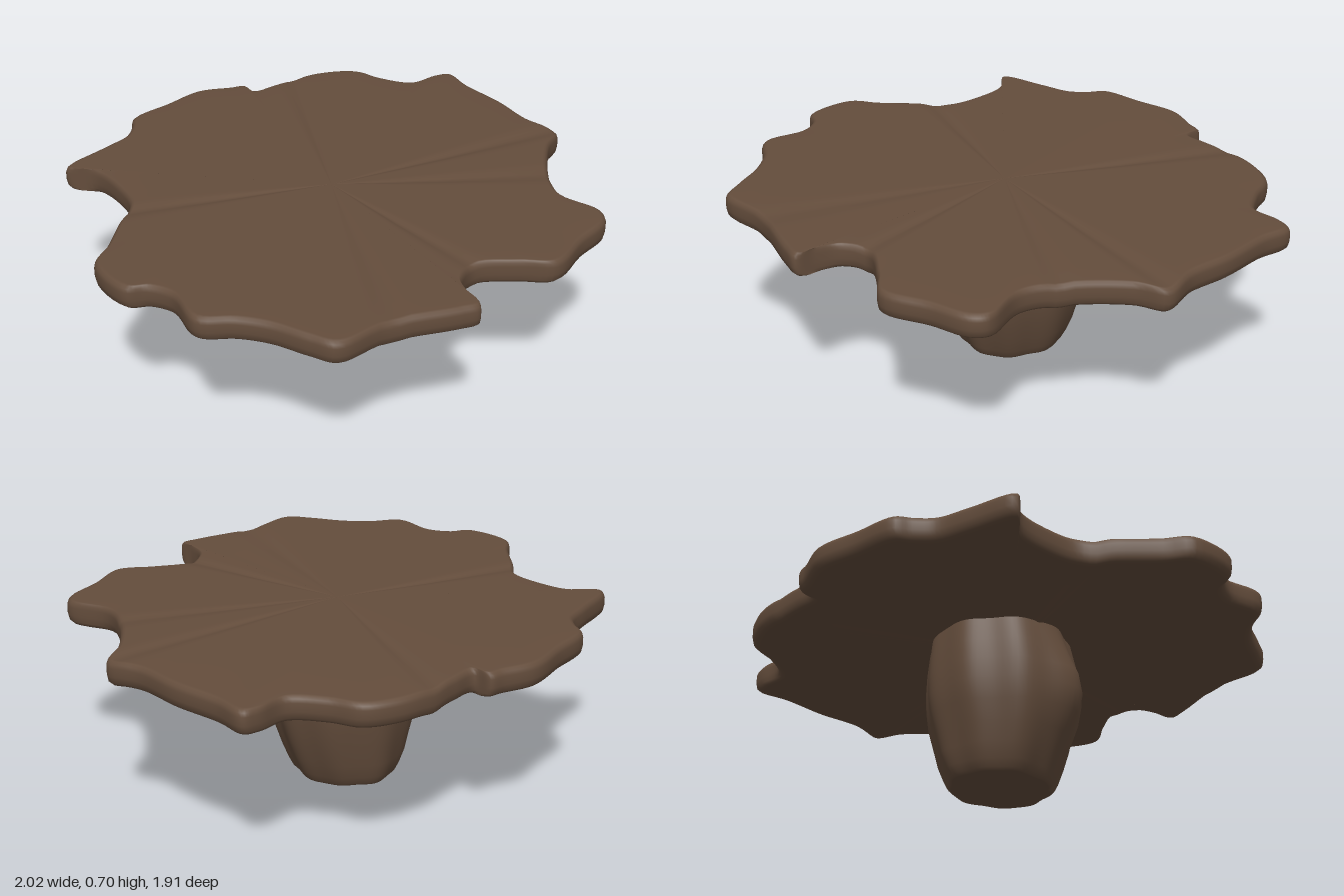
import * as THREE from 'three';

// Edge of the slab as (x, z) pairs, running from the back over +x to the front
const OUTLINE = [
  -0.03, -0.96, 0.10, -0.92, 0.155, -0.905, 0.165, -0.84, 0.26, -0.84, 0.40, -0.85, 0.53, -0.83,
  0.64, -0.77, 0.69, -0.66, 0.78, -0.55, 0.90, -0.55, 0.96, -0.53, 0.955, -0.40, 0.975, -0.20,
  0.97, -0.02, 1.0, 0.13, 0.90, 0.20, 0.75, 0.38, 0.69, 0.53, 0.74, 0.70, 0.70, 0.76,
  0.55, 0.81, 0.38, 0.88, 0.27, 0.81, 0.12, 0.735, 0.02, 0.79, -0.01, 0.87, -0.02, 0.95,
  -0.10, 0.94, -0.35, 0.875, -0.56, 0.885, -0.62, 0.80, -0.69, 0.67, -0.77, 0.58, -0.88, 0.50,
  -0.87, 0.33, -0.92, 0.24, -0.99, 0.20, -1.0, 0.0, -0.91, -0.08, -0.80, -0.20, -0.70, -0.30,
  -0.68, -0.44, -0.70, -0.58, -0.78, -0.67, -0.60, -0.73, -0.47, -0.77, -0.41, -0.83,
  -0.37, -0.89, -0.20, -0.925,
];

// Skin a list of closed rings, given from the top centre down to the bottom centre
function loft(rings) {
  const n = rings[0].length, index = [];
  for (let i = 0; i < rings.length - 1; i++) {
    for (let j = 0; j < n; j++) {
      const k = (j + 1) % n;
      const a = i * n + j, b = i * n + k, c = a + n, d = b + n;
      index.push(a, b, c, b, d, c);
    }
  }
  const g = new THREE.BufferGeometry();
  g.setAttribute('position', new THREE.Float32BufferAttribute(rings.flat(2), 3));
  g.setIndex(index);
  g.computeVertexNormals();
  return g;
}

// Angular distance wrapped to -PI..PI
const turn = (a, b) => Math.atan2(Math.sin(a - b), Math.cos(a - b));
const bell = (d, w) => Math.exp(-(d * d) / (w * w));

function slabGeometry() {
  const pts = [];
  for (let i = 0; i < OUTLINE.length; i += 2) pts.push(new THREE.Vector3(OUTLINE[i], 0, OUTLINE[i + 1]));
  const edge = new THREE.CatmullRomCurve3(pts, true, 'centripetal').getPoints(300).slice(0, -1);
  // Directions of the shallow radial creases
  const creases = [[0.35, -0.8], [-0.65, -0.22], [-0.3, 0.8], [0.75, 0.4], [1, 0.12], [0.1, 0.7]]
    .map(([x, z]) => Math.atan2(z, x));
  // [scale, height above the middle plane]
  const section = [
    [0, 0.048], [0.1, 0.048], [0.3, 0.048], [0.5, 0.048], [0.7, 0.048], [0.88, 0.048], [0.975, 0.047],
    [0.985, 0.045], [0.995, 0.036], [1, 0.022], [1, -0.01], [0.995, -0.034], [0.982, -0.046],
    [0.965, -0.05], [0.8, -0.05], [0.5, -0.05], [0.2, -0.05], [0, -0.05],
  ];
  return loft(section.map(([s, h]) => edge.map((p) => {
    const a = Math.atan2(p.z, p.x);
    const x = p.x * s, z = p.z * s;
    let y = 0.643 + h - 0.009 * x + 0.004 * s * Math.sin(3 * a + 1);
    for (const c of creases) y -= 0.008 * Math.min(1, s * 2) * bell(turn(a, c), 0.04);
    return [x, y, z];
  })));
}

function stemGeometry() {
  // [height, radius in x, radius in z, centre z]
  const section = [
    [0.64, 0.27, 0.26, -0.045], [0.58, 0.28, 0.27, -0.045], [0.5, 0.29, 0.285, -0.04],
    [0.42, 0.295, 0.295, -0.035], [0.34, 0.29, 0.295, -0.035], [0.26, 0.28, 0.285, -0.035],
    [0.18, 0.26, 0.265, -0.035], [0.1, 0.235, 0.245, -0.04], [0.04, 0.21, 0.225, -0.04],
    [0.01, 0.195, 0.21, -0.04], [0, 0.185, 0.2, -0.04], [0, 0.18, 0.195, -0.04], [0, 0, 0, -0.04],
  ];
  const n = 96;
  return loft(section.map(([y, rx, rz, cz]) => Array.from({ length: n }, (_, j) => {
    const a = (j / n) * Math.PI * 2;
    // Twisting flutes, a deep fold, and a swelling on the -x side
    const flutes = 0.022 * Math.cos(5 * a + 1 + 2 * y) + 0.02 * Math.cos(9 * a - 3 * y)
      - 0.06 * bell(turn(a, 2.3 - 0.5 * y), 0.1);
    const swell = 0.2 * bell(turn(a, 2.85), 0.4) * bell(y - 0.33, 0.15);
    const k = 1 + flutes + swell;
    return [rx * k * Math.cos(a), y, cz + rz * k * Math.sin(a)];
  })));
}

export function createModel() {
  const bark = new THREE.MeshStandardMaterial({ color: 0x644d3c });
  bark.name = 'brown bark';

  const model = new THREE.Group();
  model.name = 'stumpTable';
  const add = (name, geometry) => {
    const mesh = new THREE.Mesh(geometry, bark);
    mesh.name = name;
    model.add(mesh);
  };
  add('tableTop', slabGeometry());
  add('trunkStem', stemGeometry());
  return model;
}
